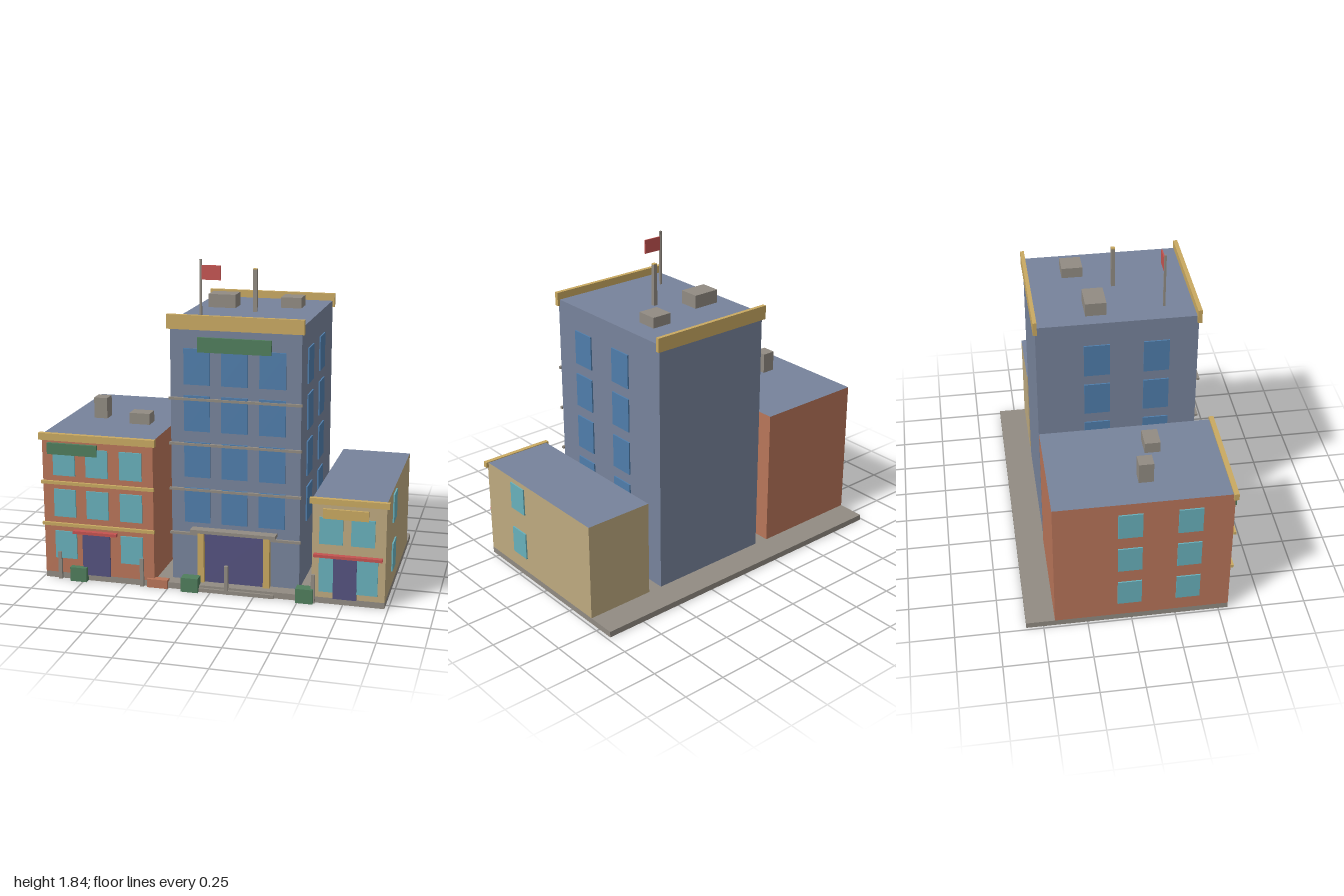
import * as THREE from 'three';

const material = (name, color) => {
  const m = new THREE.MeshStandardMaterial({ color });
  m.name = name;
  return m;
};

export function createModel() {
  const brick = material('brick', 0xb87559);
  const slate = material('slate', 0x77839b);
  const cream = material('cream', 0xbda97f);
  const gold = material('gold', 0xc9a961);
  const blue = material('blue glass', 0x4f7dab);
  const teal = material('teal glass', 0x68b0bb);
  const indigo = material('indigo door', 0x54527f);
  const green = material('green', 0x4f7d5c);
  const red = material('red', 0xc45350);
  const grey = material('stone grey', 0x918b82);

  const model = new THREE.Group();
  model.name = 'cityBlock';
  const group = (name) => {
    const g = new THREE.Group();
    g.name = name;
    model.add(g);
    return g;
  };
  // Box given by its limits along x, y and z
  const box = (parent, name, mat, x0, x1, y0, y1, z0, z1) => {
    const mesh = new THREE.Mesh(new THREE.BoxGeometry(x1 - x0, y1 - y0, z1 - z0), mat);
    mesh.position.set((x0 + x1) / 2, (y0 + y1) / 2, (z0 + z1) / 2);
    mesh.name = name;
    parent.add(mesh);
    return mesh;
  };
  // Walls with a slate roof face on top
  const body = (parent, wall, ...limits) => {
    box(parent, 'walls', [wall, wall, slate, wall, wall, wall], ...limits);
  };
  const F = 0.555; // street front
  const T = 0.475; // tower front

  // Pavement
  const street = group('street');
  box(street, 'pavement', grey, -0.985, 0.98, 0, 0.035, -0.598, F);

  // Brick house
  const house = group('brickHouse');
  body(house, brick, -0.985, -0.33, 0.035, 0.855, -0.435, F);
  box(house, 'cornice', gold, -1, -0.315, 0.825, 0.865, F - 0.012, F + 0.016);
  for (const y of [0.32, 0.568]) box(house, 'floorBand', gold, -0.992, -0.323, y, y + 0.018, F, F + 0.016);
  [0.125, 0.375, 0.62].forEach((y, row) => {
    [-0.92, -0.725, -0.525].forEach((x, col) => {
      if (row || col !== 1) box(house, 'window', teal, x, x + 0.13, y, y + 0.163, F, F + 0.008);
    });
    for (const z of [-0.08, 0.25]) box(house, 'sideWindow', teal, -0.993, -0.985, y, y + 0.163, z, z + 0.135);
  });
  box(house, 'door', indigo, -0.755, -0.59, 0.035, 0.285, F, F + 0.009);
  box(house, 'awning', red, -0.805, -0.545, 0.285, 0.302, F, F + 0.03);
  box(house, 'sign', green, -0.95, -0.655, 0.745, 0.81, F, F + 0.018);
  box(house, 'chimney', grey, -0.822, -0.742, 0.855, 0.978, 0.055, 0.138);
  box(house, 'roofUnit', grey, -0.577, -0.455, 0.855, 0.92, 0.128, 0.217);

  // Tower
  const tower = group('tower');
  body(tower, slate, -0.245, 0.49, 0.035, 1.517, -0.43, T);
  box(tower, 'frontCornice', gold, -0.262, 0.504, 1.48, 1.56, T - 0.01, T + 0.014);
  box(tower, 'backCornice', gold, -0.262, 0.504, 1.48, 1.56, -0.442, -0.42);
  for (const y of [0.38, 0.645, 0.91, 1.173]) {
    for (const x of [-0.168, 0.045, 0.258]) {
      box(tower, 'window', blue, x, x + 0.148, y, y + 0.202, T, T + 0.008);
    }
    for (const z of [-0.165, 0.17]) {
      for (const x of [-0.253, 0.49]) box(tower, 'sideWindow', blue, x, x + 0.008, y + 0.003, y + 0.203, z, z + 0.145);
    }
  }
  for (const y of [0.305, 0.565, 0.828, 1.085]) {
    box(tower, 'ledge', grey, -0.253, 0.498, y, y + 0.014, T, T + 0.016);
  }
  box(tower, 'sign', green, -0.088, 0.325, 1.358, 1.44, T, T + 0.017);
  box(tower, 'door', indigo, -0.05, 0.29, 0.035, 0.325, T, T + 0.018);
  for (const x of [-0.088, 0.29]) box(tower, 'doorPost', gold, x, x + 0.036, 0.035, 0.335, T, T + 0.035);
  box(tower, 'canopy', grey, -0.125, 0.363, 0.333, 0.352, T, 0.532);
  box(tower, 'step', grey, -0.125, 0.363, 0, 0.022, F, F + 0.014);

  // Tower roof fittings
  box(tower, 'roofUnit', grey, -0.165, -0.005, 1.517, 1.594, -0.145, -0.027);
  box(tower, 'roofUnit', grey, 0.245, 0.365, 1.517, 1.578, -0.228, -0.108);
  box(tower, 'antenna', grey, 0.12, 0.143, 1.517, 1.757, 0.04, 0.062);
  box(tower, 'antennaCap', gold, 0.12, 0.143, 1.757, 1.762, 0.04, 0.062);
  box(tower, 'flagpole', grey, -0.124, -0.112, 1.517, 1.84, 0.295, 0.307);
  box(tower, 'flag', red, -0.112, -0.003, 1.727, 1.808, 0.298, 0.305);

  // Cream shop
  const shop = group('creamShop');
  body(shop, cream, 0.575, 0.98, 0.035, 0.604, -0.43, F);
  box(shop, 'cornice', gold, 0.56, 0.996, 0.575, 0.608, F - 0.01, F + 0.016);
  box(shop, 'sign', gold, 0.635, 0.884, 0.495, 0.55, F, F + 0.014);
  for (const x of [0.615, 0.79]) box(shop, 'window', teal, x, x + 0.13, 0.347, 0.5, F, F + 0.008);
  for (const x of [0.615, 0.78]) box(shop, 'shopWindow', teal, x, x + 0.16, 0.07, 0.28, F, F + 0.007);
  for (const y of [0.125, 0.413]) box(shop, 'sideWindow', teal, 0.98, 0.988, y, y + 0.163, 0.182, 0.31);
  box(shop, 'door', indigo, 0.695, 0.825, 0.035, 0.267, F, F + 0.01);
  box(shop, 'awning', red, 0.587, 0.965, 0.275, 0.291, F, F + 0.03);

  // Bollards, planters and crates along the pavement
  for (const x of [-0.904, -0.412, 0.081, 0.574]) {
    box(street, 'bollard', grey, x, x + 0.021, 0, 0.165, F - 0.005, F + 0.016);
  }
  for (const x of [-0.825, -0.165, 0.49]) box(street, 'planter', green, x, x + 0.098, 0, 0.083, 0.527, 0.59);
  box(street, 'sidePlanter', green, -0.29, -0.245, 0, 0.1, 0.018, 0.137);
  box(street, 'brickTrough', brick, -0.37, -0.25, 0, 0.05, 0.53, 0.573);
  return model;
}
